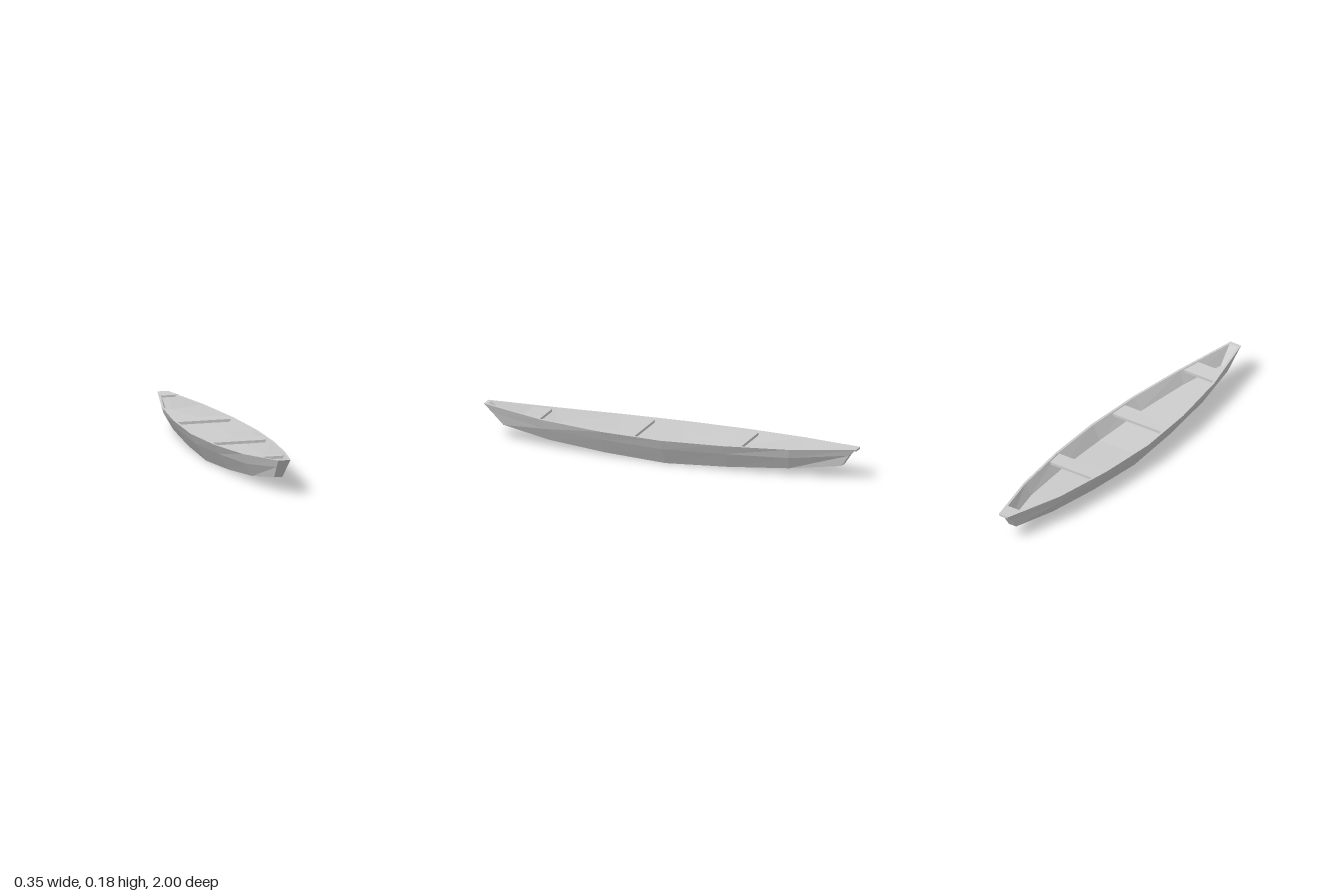
import * as THREE from 'three';

// Hull stations from stern to bow; every point is [half width, y, z]
const STATIONS = [
  { rim: [0.028, 0.165, -1], chine: [0.026, 0.13, -0.96], bottom: [0.022, 0.07, -0.92], inner: [0.02, 0.165, -0.98], floor: [0.017, 0.09, -0.905] },
  { rim: [0.112, 0.153, -0.67], chine: [0.094, 0.103, -0.66], bottom: [0.056, 0.037, -0.65], inner: [0.1, 0.153, -0.67], floor: [0.074, 0.088, -0.66] },
  { rim: [0.157, 0.147, -0.33], chine: [0.13, 0.097, -0.33], bottom: [0.08, 0.015, -0.33], inner: [0.145, 0.147, -0.33], floor: [0.109, 0.077, -0.33] },
  { rim: [0.175, 0.143, 0], chine: [0.148, 0.09, 0], bottom: [0.092, 0, 0], inner: [0.162, 0.143, 0], floor: [0.124, 0.065, 0] },
  { rim: [0.157, 0.147, 0.33], chine: [0.13, 0.097, 0.33], bottom: [0.08, 0.015, 0.33], inner: [0.145, 0.147, 0.33], floor: [0.109, 0.077, 0.33] },
  { rim: [0.111, 0.157, 0.66], chine: [0.093, 0.105, 0.65], bottom: [0.055, 0.038, 0.64], inner: [0.099, 0.157, 0.66], floor: [0.071, 0.09, 0.65] },
  { rim: [0.033, 0.181, 1], chine: [0.028, 0.14, 0.96], bottom: [0.022, 0.077, 0.9], inner: [0.025, 0.18, 0.98], floor: [0.015, 0.1, 0.89] },
];

// Closed section: down the left outside, under, up the right, then back along the inside
function section({ rim, chine, bottom, inner, floor }) {
  const left = (p) => p;
  const right = ([x, y, z]) => [-x, y, z];
  return [left(rim), left(chine), left(bottom), right(bottom), right(chine), right(rim),
    right(inner), right(floor), left(floor), left(inner)];
}

function hullGeometry() {
  const rows = STATIONS.map(section);
  const positions = [];
  const quad = (a, b, c, d) => [a, b, c, a, c, d].forEach((p) => positions.push(...p));

  for (let i = 0; i < rows.length - 1; i++) {
    for (let j = 0; j < 10; j++) {
      const k = (j + 1) % 10;
      quad(rows[i][j], rows[i + 1][j], rows[i + 1][k], rows[i][k]);
    }
  }
  // Stem faces, inner end faces and the rim across each end
  const ends = [[5, 4, 1, 0], [4, 3, 2, 1], [9, 8, 7, 6], [5, 0, 9, 6]];
  const stern = rows[0];
  const bow = rows[rows.length - 1];
  for (const face of ends) {
    quad(...face.map((n) => bow[n]));
    quad(...[...face].reverse().map((n) => stern[n]));
  }
  const geometry = new THREE.BufferGeometry();
  geometry.setAttribute('position', new THREE.Float32BufferAttribute(positions, 3));
  geometry.computeVertexNormals();
  return geometry;
}

// Half width and height of the rim or inner rim at a given z
function edgeAt(key, z) {
  let i = 0;
  while (i < STATIONS.length - 2 && STATIONS[i + 1][key][2] < z) i++;
  const a = STATIONS[i][key];
  const b = STATIONS[i + 1][key];
  const t = (z - a[2]) / (b[2] - a[2]);
  return { halfWidth: a[0] + (b[0] - a[0]) * t, y: a[1] + (b[1] - a[1]) * t };
}

// Board between the sides, tapered to follow the hull
function plankGeometry(key, z0, z1, lift, thickness) {
  const geometry = new THREE.BoxGeometry(2, 1, 1);
  const p = geometry.attributes.position;
  for (let i = 0; i < p.count; i++) {
    const z = p.getZ(i) < 0 ? z0 : z1;
    const edge = edgeAt(key, z);
    const under = p.getY(i) < 0;
    const halfWidth = edge.halfWidth - (under ? thickness * 0.5 : 0);
    p.setXYZ(i, p.getX(i) * halfWidth, edge.y + lift - (under ? thickness : 0), z);
  }
  geometry.computeVertexNormals();
  return geometry;
}

export function createModel() {
  const group = new THREE.Group();
  const material = new THREE.MeshStandardMaterial({ color: 0xcccccc, flatShading: true });
  const add = (name, geometry) => {
    const mesh = new THREE.Mesh(geometry, material);
    mesh.name = name;
    group.add(mesh);
  };

  add('hull', hullGeometry());
  add('sternDeck', plankGeometry('rim', -1, -0.905, 0.001, 0.01));

  // Seats just below the rim
  const seats = { rearSeat: [-0.415, -0.32], middleSeat: [0.15, 0.25], frontSeat: [0.68, 0.775] };
  for (const [name, [z0, z1]] of Object.entries(seats)) {
    add(name, plankGeometry('inner', z0, z1, -0.006, 0.014));
  }
  return group;
}
